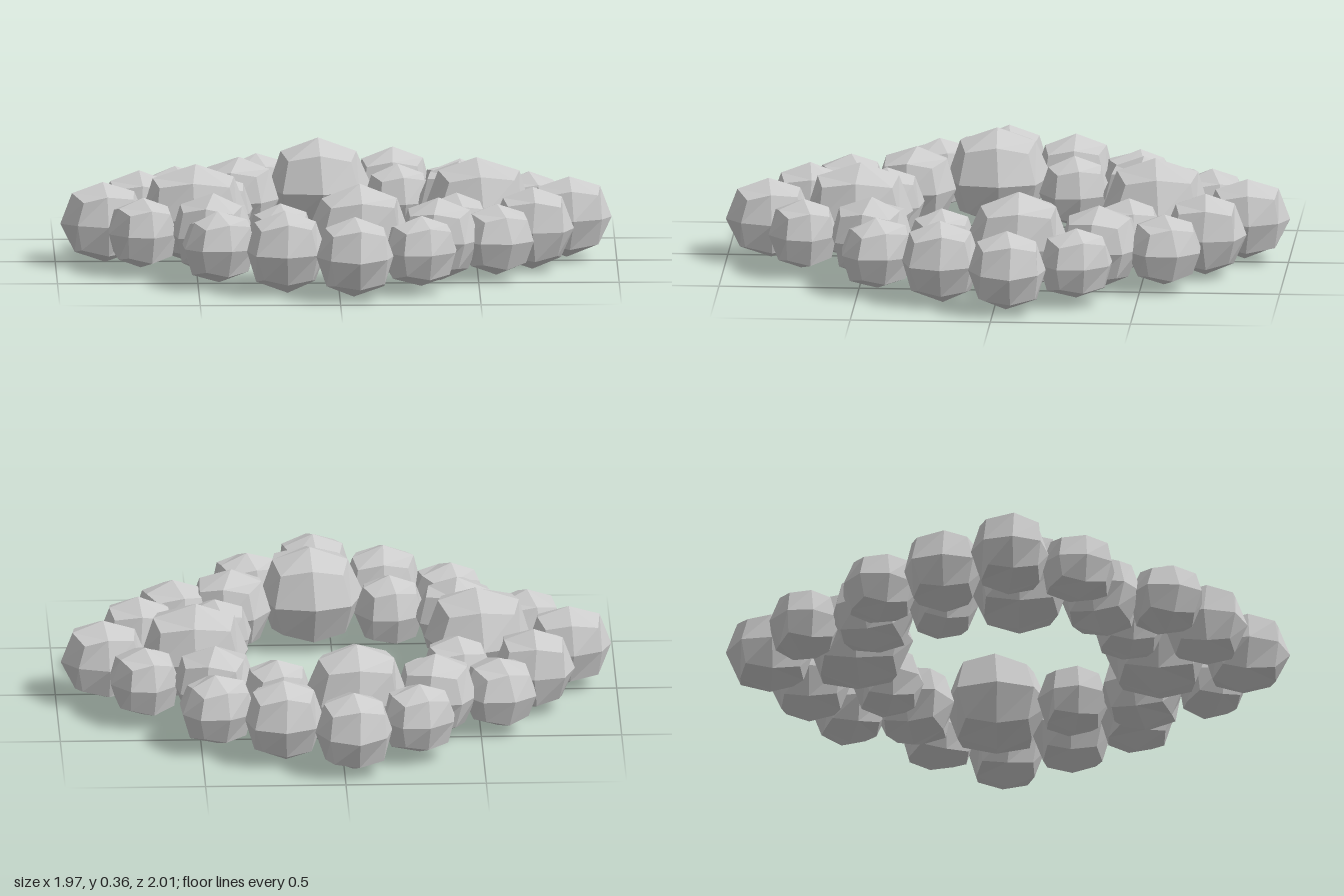
import * as THREE from 'three';
import { mergeVertices } from 'three/addons/utils/BufferGeometryUtils.js';

// Rocks of one quarter: x, z, centre height, radii (x, y, z), yaw in degrees
const ROCKS = [
  { name: 'outerTipRock', at: [-0.045, 0.157, -0.845], r: [0.142, 0.142, 0.152], yaw: 8 },
  { name: 'outerLeftRock', at: [-0.28, 0.155, -0.715], r: [0.138, 0.125, 0.127], yaw: 20 },
  { name: 'outerRightRock', at: [0.2, 0.155, -0.715], r: [0.145, 0.146, 0.146], yaw: 3 },
  { name: 'largeInnerRock', at: [-0.062, 0.187, -0.53], r: [0.182, 0.178, 0.191], yaw: 3 },
  { name: 'innerLeftRock', at: [-0.352, 0.16, -0.465], r: [0.145, 0.146, 0.15], yaw: -12 },
  { name: 'innerRightRock', at: [0.218, 0.155, -0.442], r: [0.127, 0.128, 0.127], yaw: 14 },
  { name: 'cornerRock', at: [0.435, 0.152, -0.588], r: [0.135, 0.126, 0.135], yaw: 20 },
];

// Small shift of each quarter from the middle: x, z
const SHIFTS = [[0.01, 0], [-0.02, -0.005], [0.01, 0], [0.02, 0.005]];

// Seeded number generator
function seeded(seed) {
  let s = seed;
  return () => {
    s = (s * 16807) % 2147483647;
    return s / 2147483647;
  };
}

// A divided cube pushed out to a slightly boxy ball, each corner nudged a little
function rockGeometry([rx, ry, rz], seed) {
  const box = new THREE.BoxGeometry(2, 2, 2, 2, 2, 2);
  box.deleteAttribute('normal');
  box.deleteAttribute('uv');
  const geometry = mergeVertices(box);
  const random = seeded(seed);
  const nudge = () => (random() - 0.5) * 0.1;
  const p = geometry.attributes.position;
  const v = new THREE.Vector3();
  for (let i = 0; i < p.count; i++) {
    v.fromBufferAttribute(p, i);
    const power = 2.3;
    const sum = Math.abs(v.x) ** power + Math.abs(v.y) ** power + Math.abs(v.z) ** power;
    v.divideScalar(sum ** (1 / power));
    p.setXYZ(i, (v.x + nudge()) * rx, (v.y + nudge() * 0.5) * ry, (v.z + nudge()) * rz);
  }
  const flat = geometry.toNonIndexed();
  flat.computeVertexNormals();
  return flat;
}

export function createModel() {
  const model = new THREE.Group();
  model.name = 'rockRing';
  const material = new THREE.MeshStandardMaterial({ color: 0xcccccc, flatShading: true });
  const geometries = ROCKS.map((rock, i) => rockGeometry(rock.r, 101 + i * 7919));

  // Four turned copies of the cluster
  SHIFTS.forEach(([x, z], q) => {
    const cluster = new THREE.Group();
    cluster.name = 'rockCluster' + (q + 1);
    cluster.position.set(x, 0, z);
    cluster.rotation.y = -q * Math.PI / 2;
    ROCKS.forEach((rock, i) => {
      const mesh = new THREE.Mesh(geometries[i], material);
      mesh.name = rock.name;
      mesh.position.set(...rock.at);
      mesh.rotation.y = THREE.MathUtils.degToRad(rock.yaw);
      cluster.add(mesh);
    });
    model.add(cluster);
  });
  return model;
}
